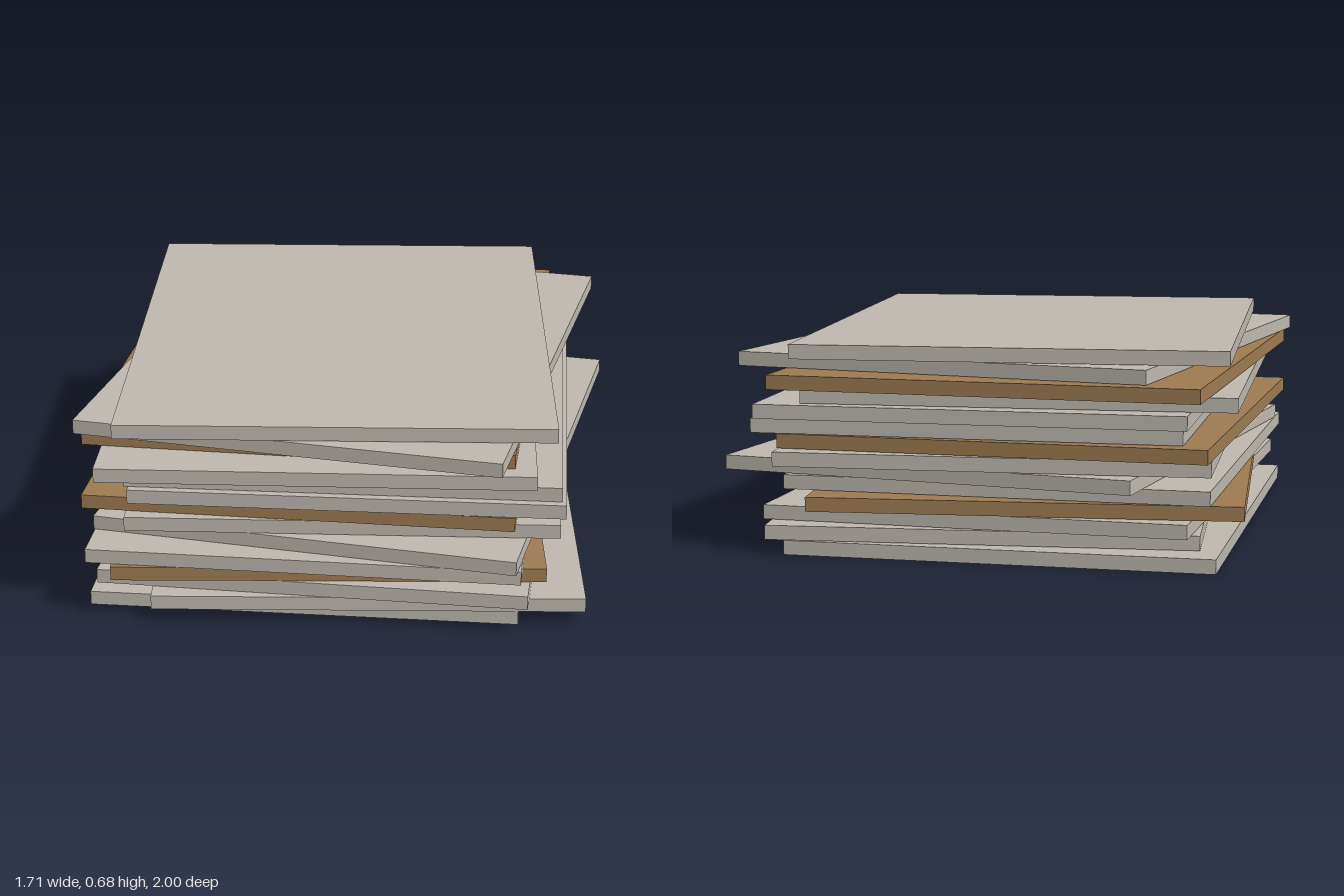
import * as THREE from 'three';

// Each slab from bottom to top: [x, z, turn about y, is brown]
const SLABS = [
  [-0.09, -0.04, 0, 0],
  [0.05, 0.008, 0.087, 0],
  [-0.027, 0.017, -0.036, 0],
  [-0.083, 0.005, 0.093, 1],
  [-0.07, 0.055, -0.0135, 0],
  [0.037, 0.007, -0.144, 0],
  [-0.015, -0.04, 0.059, 0],
  [-0.085, -0.033, -0.0255, 1],
  [0.037, -0.01, 0.017, 0],
  [0.022, -0.033, 0.0175, 0],
  [-0.09, 0.027, 0.056, 0],
  [-0.08, -0.09, -0.0375, 1],
  [-0.01, 0.022, -0.147, 0],
  [-0.048, 0, 0.077, 0],
];

const WIDTH = 1.393, DEPTH = 1.775, THICKNESS = 0.0465, PITCH = 0.0487;

export function createModel() {
  const group = new THREE.Group();
  group.name = 'slabStack';

  const grey = new THREE.MeshStandardMaterial({ color: 0xbfb9b0 });
  grey.name = 'warm grey';
  const brown = new THREE.MeshStandardMaterial({ color: 0x9f7c52 });
  brown.name = 'brown';

  // Loosely stacked flat slabs, each slightly shifted and turned
  const slab = new THREE.BoxGeometry(WIDTH, THICKNESS, DEPTH);
  SLABS.forEach(([x, z, turn, isBrown], i) => {
    const mesh = new THREE.Mesh(slab, isBrown ? brown : grey);
    mesh.name = `${isBrown ? 'brownSlab' : 'greySlab'}${i + 1}`;
    mesh.position.set(x, THICKNESS / 2 + i * PITCH, z);
    mesh.rotation.y = turn;
    group.add(mesh);
  });
  return group;
}
